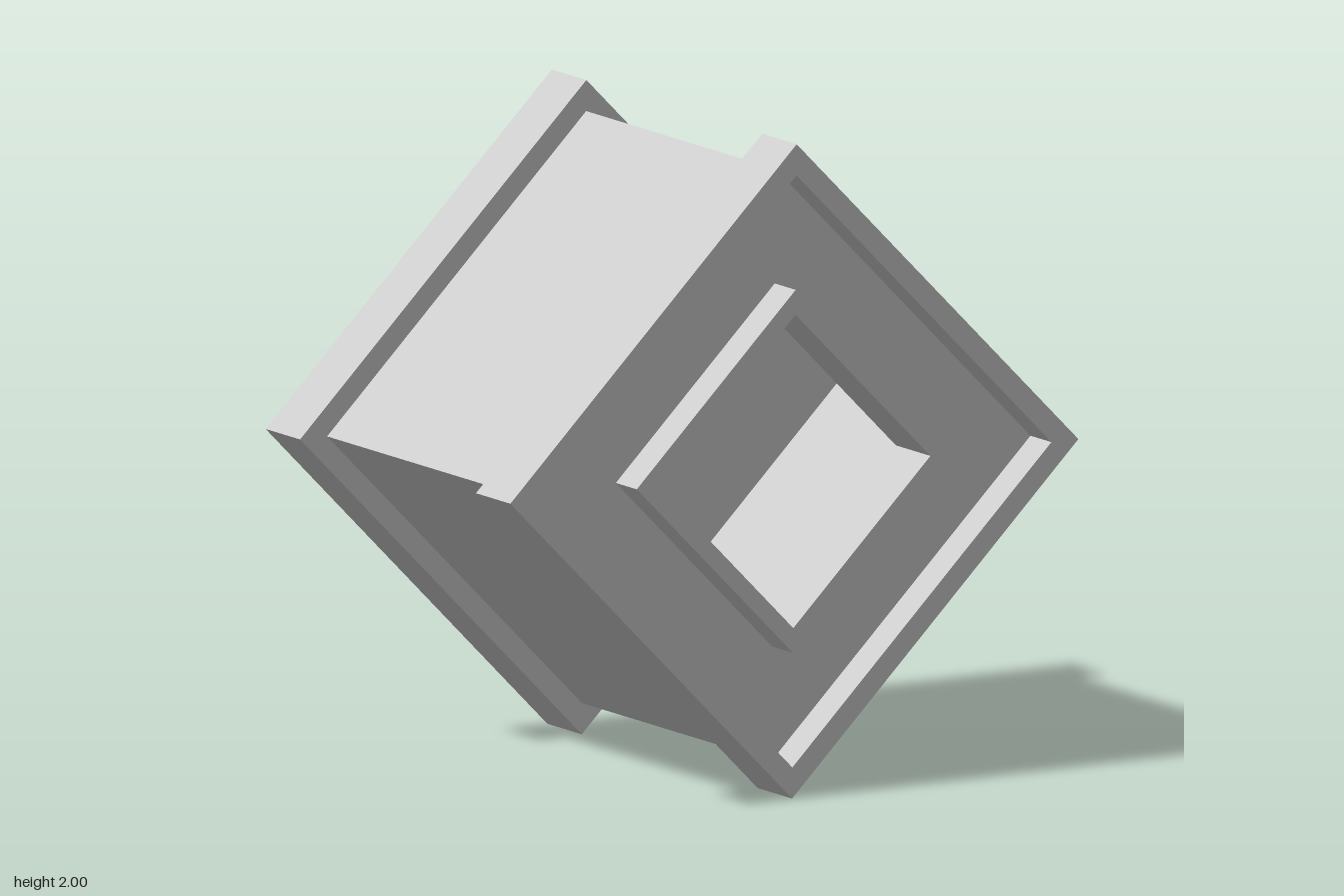
import * as THREE from 'three';

const END = 0.706;    // outer face of each flange
const SEAT = 0.507;   // where flange meets body
const FLOOR = 0.585;  // recessed face of the flange

// Four-sided revolve: profile points are [half diagonal, distance along z]
function diamondLathe(profile, dir = 1) {
  const geo = new THREE.LatheGeometry(profile.map(([r, d]) => new THREE.Vector2(r, d)), 4);
  geo.rotateX(dir * Math.PI / 2);
  const skew = new THREE.Matrix4().set(1, 0.008, 0, 0, 0, 1, 0, 0, 0, 0, 1, 0, 0, 0, 0, 1);
  geo.applyMatrix4(skew);
  return geo.translate(0, 1, 0);
}

export function createModel() {
  const group = new THREE.Group();
  const solid = new THREE.MeshStandardMaterial({ color: 0xcccccc, flatShading: true });
  const shell = solid.clone();
  shell.side = THREE.DoubleSide;

  const add = (name, geo, mat) => {
    const mesh = new THREE.Mesh(geo, mat);
    mesh.name = name;
    group.add(mesh);
  };

  // Hollow body: closed at the back, open towards the front opening
  add('body', diamondLathe([[0, -SEAT], [0.905, -SEAT], [0.905, SEAT]]), shell);

  // Flange: outer rim, sunken face, raised inner frame and square opening
  const flange = [
    [1, SEAT], [1, END], [0.905, END], [0.905, FLOOR], [0.555, FLOOR],
    [0.555, END], [0.479, END], [0.479, SEAT], [1, SEAT],
  ];
  add('frontFlange', diamondLathe(flange, 1), solid);
  add('backFlange', diamondLathe(flange, -1), solid);
  return group;
}
